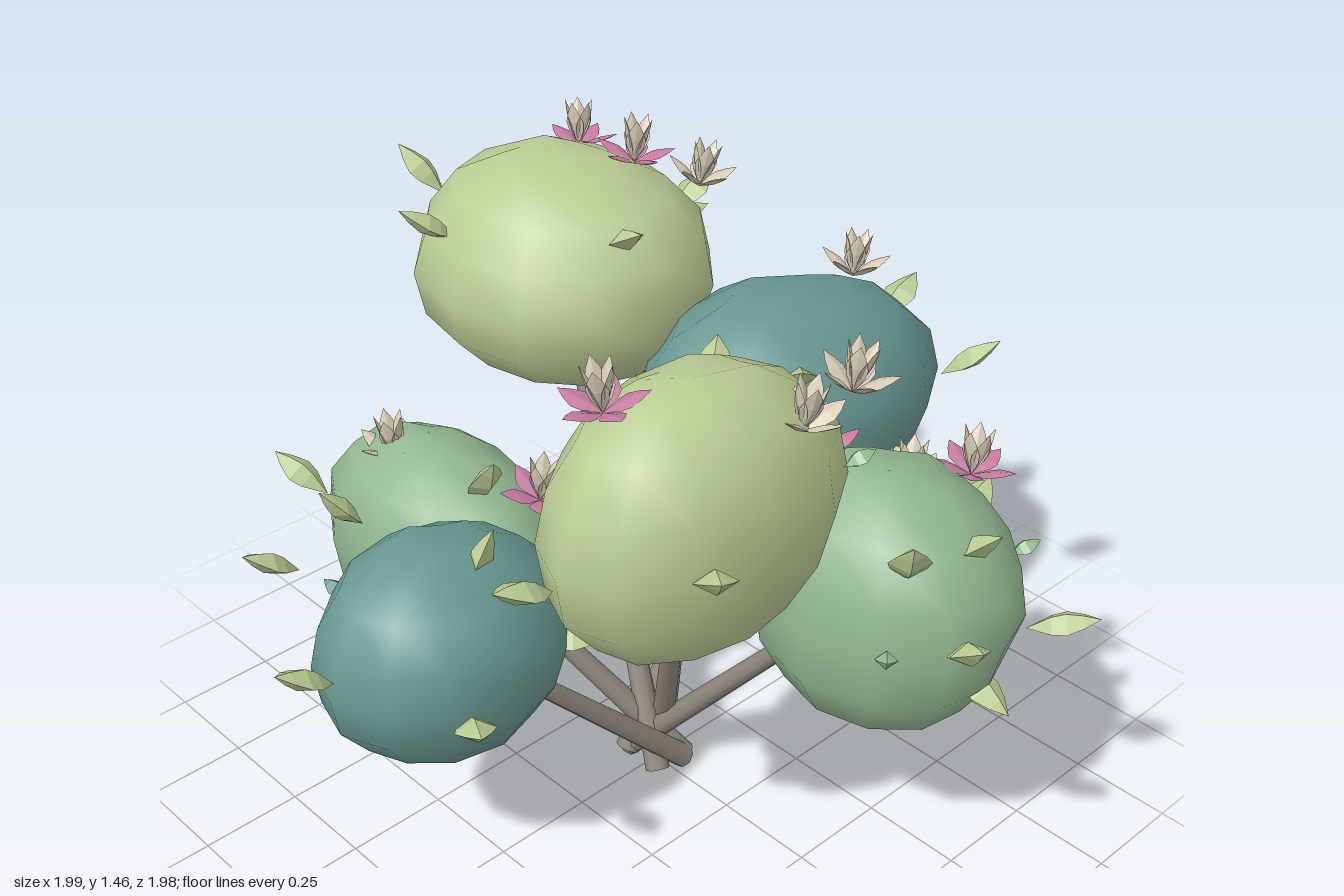
import * as THREE from 'three';
import { mergeVertices } from 'three/addons/utils/BufferGeometryUtils.js';

const mat = (name, color) => {
  const m = new THREE.MeshStandardMaterial({ color });
  m.name = name;
  return m;
};

// Slightly lumpy ellipsoid with puckered poles and smooth normals
function crownGeometry(radii, seed) {
  let geo = new THREE.SphereGeometry(1, 12, 8);
  geo.deleteAttribute('uv');
  geo.deleteAttribute('normal');
  geo = mergeVertices(geo, 1e-4);
  const p = geo.attributes.position;
  const v = new THREE.Vector3();
  for (let i = 0; i < p.count; i++) {
    v.fromBufferAttribute(p, i);
    let lump = 1.02 + 0.025 * Math.sin(3.1 * v.x + seed) + 0.02 * Math.sin(3.7 * v.z + seed * 2.3)
      + 0.02 * Math.sin(4.3 * v.y + 2 * v.x + seed * 1.7);
    if (Math.abs(v.y) > 0.99) lump = 0.96;
    else if (Math.abs(v.y) > 0.9) lump += 0.03 * Math.sin(i * 2.4 + seed);
    v.multiplyScalar(lump).multiply(radii);
    p.setXYZ(i, v.x, v.y, v.z);
  }
  geo.computeVertexNormals();
  return geo;
}

// Pointed four-sided blade along y, standing on its base tip
function bladeGeometry(length, width, thickness) {
  const outline = [[0, 0], [0.42, 0.35], [0.5, 0.55], [0.3, 0.78], [0, 1]];
  const lathe = new THREE.LatheGeometry(outline.map(([r, y]) => new THREE.Vector2(r, y)), 4);
  const geo = lathe.scale(width, length, thickness).toNonIndexed();
  geo.computeVertexNormals();
  return geo;
}

// Turn an object so that its y axis follows dir and its width stays level
function orient(obj, dir) {
  const y = dir.clone().normalize();
  const x = new THREE.Vector3(0, 1, 0).cross(y).normalize();
  const z = new THREE.Vector3().crossVectors(x, y);
  obj.quaternion.setFromRotationMatrix(new THREE.Matrix4().makeBasis(x, y, z));
}

// Unit direction from azimuth (0 = +x, 90 = +z) and elevation in degrees
function direction(azimuth, elevation) {
  const a = THREE.MathUtils.degToRad(azimuth);
  const e = THREE.MathUtils.degToRad(elevation);
  return new THREE.Vector3(Math.cos(a) * Math.cos(e), Math.sin(e), Math.sin(a) * Math.cos(e));
}

export function createModel() {
  const group = new THREE.Group();
  group.name = 'floweringBush';
  const lime = mat('lightGreen', 0xbbcc94);
  const green = mat('midGreen', 0x92b891);
  const teal = mat('teal', 0x699791);
  const bark = mat('bark', 0x8d857a);
  const cream = mat('cream', 0xd8ccb6);
  const pink = mat('pink', 0xc67c9f);

  const leafGeo = bladeGeometry(0.165, 0.09, 0.05);
  const budGeo = bladeGeometry(0.075, 0.05, 0.04);
  const outerGeo = bladeGeometry(0.105, 0.055, 0.012);
  const innerGeo = bladeGeometry(0.12, 0.048, 0.014);

  const add = (parent, name, geo, material) => {
    const mesh = new THREE.Mesh(geo, material);
    mesh.name = name;
    parent.add(mesh);
    return mesh;
  };

  // Ring of five petals tilted away from the flower axis
  const petals = (flower, name, geo, material, tilt, turn) => {
    for (let i = 0; i < 5; i++) {
      orient(add(flower, name, geo, material), direction(i * 72 + turn, 90 - tilt));
    }
  };

  // One stem with its crown; returns helpers that dress the crown
  const plant = (name, material, centre, radii, swirl) => {
    const c = new THREE.Vector3(...centre);
    const r = new THREE.Vector3(...radii);
    const branch = new THREE.Group();
    branch.name = `${name}Branch`;
    group.add(branch);
    add(branch, `${name}Crown`, crownGeometry(r, c.x * 7 + c.z * 4), material).position.copy(c);

    // Stems start on the far side of the middle, swirled, so they cross
    const away = THREE.MathUtils.radToDeg(Math.atan2(-c.z, -c.x));
    const foot = direction(away + swirl, 0).multiplyScalar(0.072).setY(0.02);
    const span = c.clone().sub(foot);
    const length = span.length() * 0.9;
    const stem = add(branch, `${name}Stem`, new THREE.CylinderGeometry(0.02, 0.031, length, 8), bark);
    orient(stem, span);
    stem.position.copy(foot).addScaledVector(span.normalize(), length / 2);

    // Leaf centred at a multiple of the crown radius; the farther out, the more it rises
    const leaf = (leafName, geo, leafMaterial, size, azimuth, elevation, reach) => {
      const offset = direction(azimuth, elevation).multiply(r).multiplyScalar(reach);
      const dir = offset.clone().normalize();
      dir.y += THREE.MathUtils.clamp((reach - 1) * 2, 0, 0.42);
      dir.normalize();
      const mesh = add(branch, leafName, geo, leafMaterial);
      orient(mesh, dir);
      mesh.position.copy(c).add(offset).addScaledVector(dir, -size / 2);
    };

    const dress = {
      leaves(...list) {
        for (const [azimuth, elevation, reach = 1.05 + 0.2 * direction(0, elevation).x ** 2] of list) {
          leaf('leaf', leafGeo, lime, 0.165, azimuth, elevation, reach);
        }
        return dress;
      },
      smallLeaves(...azimuths) {
        for (const azimuth of azimuths) {
          leaf('smallLeaf', budGeo, material === lime ? green : material, 0.075, azimuth, 8, 1.15);
        }
        return dress;
      },
      // Flower on the upper surface at a fraction of the crown radius
      flower(outer, azimuth, fraction, lift = 0) {
        const offset = direction(azimuth, 0).multiplyScalar(fraction);
        offset.y = Math.sqrt(Math.max(0.25, 1 - fraction ** 2));
        offset.multiply(r);
        offset.y += lift;
        const flower = new THREE.Group();
        flower.name = 'flower';
        petals(flower, 'outerPetal', outerGeo, outer, outer === pink ? 70 : 58, azimuth);
        petals(flower, 'innerPetal', innerGeo, cream, 17, azimuth + 36);
        flower.position.copy(c).add(offset);
        orient(flower, offset.setY(0).multiplyScalar(0.35).setY(0.6));
        branch.add(flower);
        return dress;
      },
    };
    return dress;
  };

  plant('left', teal, [-0.57, 0.63, -0.07], [0.31, 0.25, 0.25], 55)
    .leaves([180, 17], [60, 70, 1], [113, 2], [48, 0, 0.97])
    .smallLeaves(-105, 10);

  plant('frontLeft', lime, [-0.27, 1.06, 0.38], [0.36, 0.315, 0.24], 20)
    .leaves([178, 3], [116, 8], [-49, 19])
    .smallLeaves(36)
    .flower(pink, 212, 0.55).flower(cream, 58, 0.79).flower(cream, 38, 1.05, 0.06);

  plant('front', green, [0.18, 0.73, 0.54], [0.27, 0.31, 0.33], -10)
    .leaves([123, 17, 1.43], [48, -8, 1.3], [-5, 6, 1.28], [90, 45, 0.98], [90, -25, 0.95], [140, 40, 1.45])
    .smallLeaves(26, 145)
    .flower(pink, 270, 0.62).flower(pink, 8, 0.82, 0.03).flower(cream, -25, 0.86, -0.05);

  plant('right', teal, [0.46, 0.855, -0.03], [0.42, 0.28, 0.32], 54)
    .leaves([61, 23, 1.35], [-6, 18, 1.13], [124, 44, 0.98], [78, -16, 0.96])
    .smallLeaves(-10)
    .flower(cream, -12, 0.67);

  plant('back', lime, [0.22, 1.1, -0.57], [0.34, 0.28, 0.38], 19)
    .leaves([-114, 31], [-160, 30, 1.1], [-2, 6, 1.37], [101, 39, 0.97], [-85, 0, 0.93], [15, 12, 0.97])
    .flower(pink, -35, 0.72).flower(pink, 23, 0.54).flower(cream, 20, 1.05);

  plant('backLeft', green, [-0.29, 0.6, -0.42], [0.24, 0.265, 0.34], 0)
    .leaves([-121, 13, 1.3], [183, 14, 2], [182, 33, 1.4], [99, 60, 1.08], [0, 6, 0.95], [-101, 4, 0.92])
    .flower(pink, 71, 0.84, 0.06).flower(cream, 239, 0.41, -0.05);

  return group;
}
